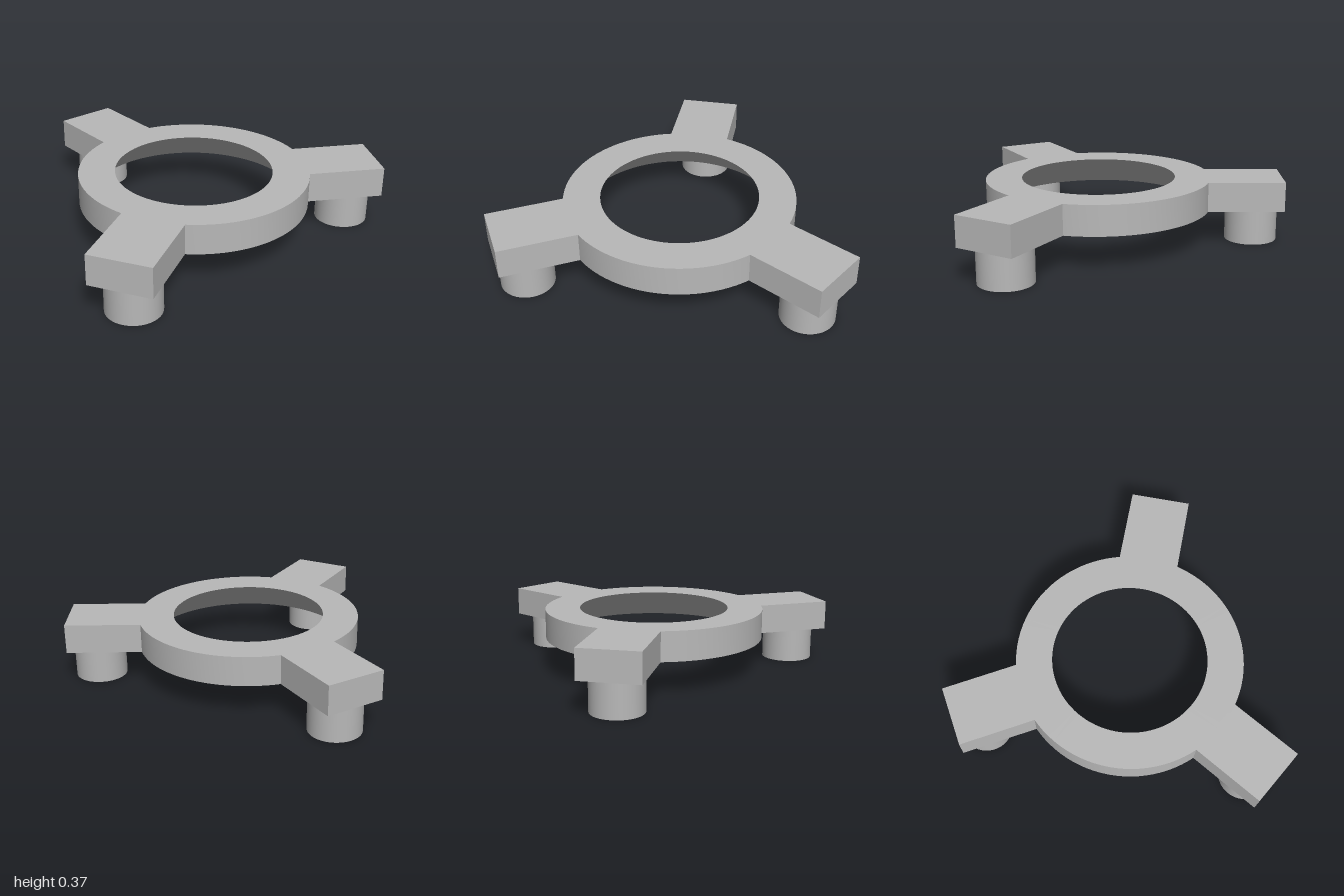
import * as THREE from 'three';
import { toCreasedNormals } from 'three/addons/utils/BufferGeometryUtils.js';

const BASE = 0.2, TOP = 0.37, CENTRE_X = 0.19;
const OUTER = 0.645, HOLE_TOP = 0.44, HOLE_BOTTOM = 0.595;
const ARM_START = 0.621, ARM_END = 1.055, ARM_WIDTH = 0.345;
const FOOT_RADIUS = 0.15, FOOT_REACH = 0.885;

export function createModel() {
  const model = new THREE.Group();
  model.name = 'threeArmedRingStand';
  const grey = new THREE.MeshStandardMaterial({ color: 0xb8b8b8 });
  grey.name = 'grey';

  const body = new THREE.Group();
  body.name = 'stand';
  body.position.x = CENTRE_X;
  model.add(body);

  // Ring whose hole widens towards the underside
  const profile = [
    [HOLE_BOTTOM, BASE], [OUTER, BASE], [OUTER, TOP], [HOLE_TOP, TOP], [HOLE_BOTTOM, BASE],
  ].map(([r, y]) => new THREE.Vector2(r, y));
  const ring = new THREE.Mesh(toCreasedNormals(new THREE.LatheGeometry(profile, 96), 0.5), grey);
  ring.name = 'ring';
  body.add(ring);

  // Three arms, each on a round foot
  const armGeometry = new THREE.BoxGeometry(ARM_END - ARM_START, TOP - BASE, ARM_WIDTH);
  const footGeometry = new THREE.CylinderGeometry(FOOT_RADIUS, FOOT_RADIUS, BASE, 48);
  for (let i = 0; i < 3; i++) {
    const leg = new THREE.Group();
    leg.name = `leg${i + 1}`;
    leg.rotation.y = Math.PI / 3 + (i * 2 * Math.PI) / 3;

    const arm = new THREE.Mesh(armGeometry, grey);
    arm.name = 'arm';
    arm.position.set((ARM_START + ARM_END) / 2, (BASE + TOP) / 2, 0);

    const foot = new THREE.Mesh(footGeometry, grey);
    foot.name = 'foot';
    foot.position.set(FOOT_REACH, BASE / 2, 0);

    leg.add(arm, foot);
    body.add(leg);
  }
  return model;
}
